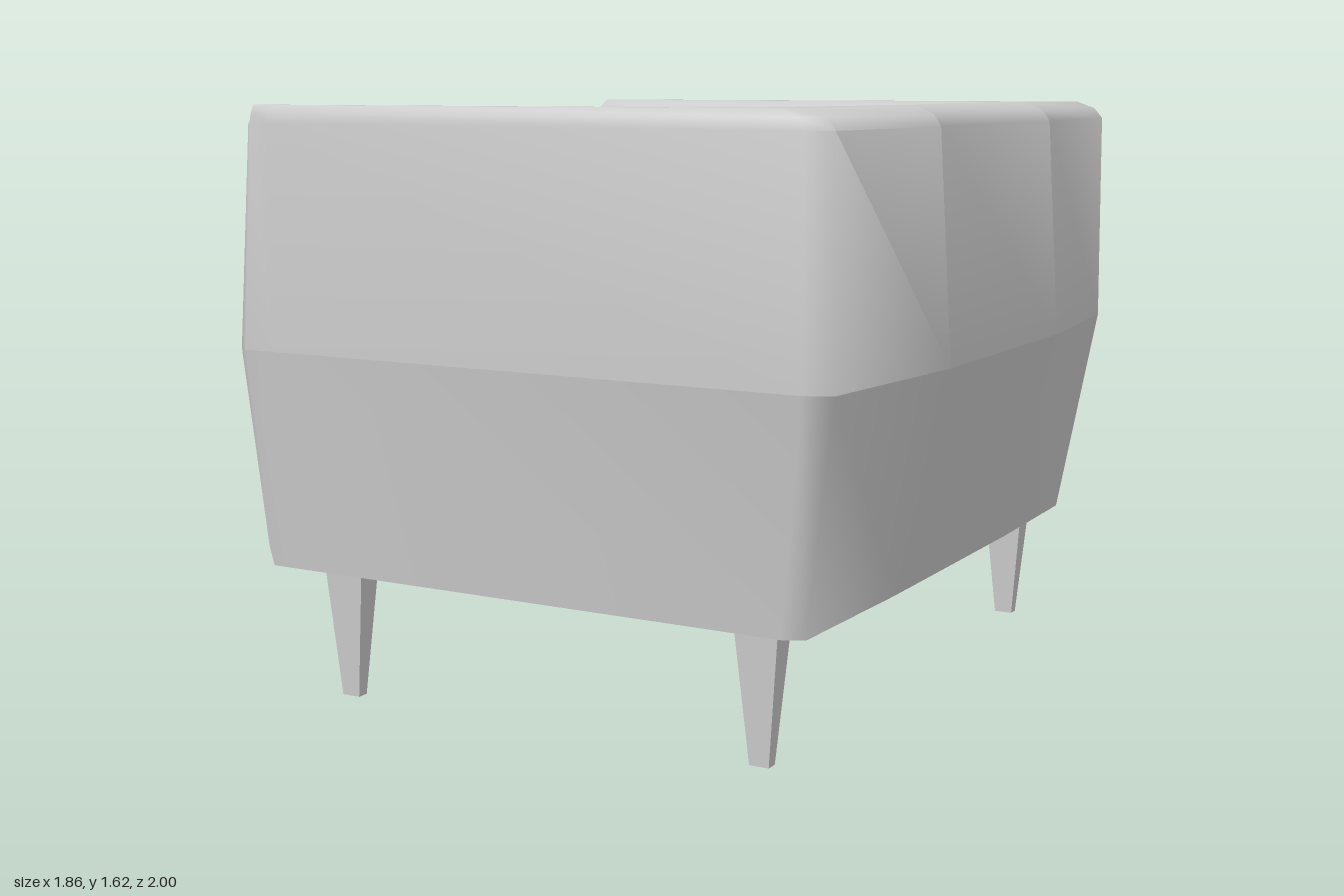
import * as THREE from 'three';
import { toCreasedNormals } from 'three/addons/utils/BufferGeometryUtils.js';

const material = new THREE.MeshStandardMaterial({ color: 0xcccccc, side: THREE.DoubleSide });
const legMaterial = new THREE.MeshStandardMaterial({ color: 0xcccccc, flatShading: true });
const { lerp, clamp, smoothstep } = THREE.MathUtils;

// Skin a list of equally long rows of [x, y, z] points.
function loft(rows, name) {
  const n = rows[0].length, index = [];
  for (let i = 0; i < rows.length - 1; i++) {
    for (let j = 0; j < n - 1; j++) {
      const a = i * n + j, b = a + n;
      index.push(a, b, a + 1, b, b + 1, a + 1);
    }
  }
  const geometry = new THREE.BufferGeometry();
  geometry.setAttribute('position', new THREE.Float32BufferAttribute(rows.flat(2), 3));
  geometry.setIndex(index);
  const mesh = new THREE.Mesh(toCreasedNormals(geometry, 1.15), material);
  mesh.name = name;
  return mesh;
}

// Stations round the U of the shell, each point [x, z]:
// outer bottom, outer middle, outer top, inner top, inner at seat, height of inner hem
const stations = [
  [[-0.87, 0.9], [-0.895, 0.963], [-0.86, 0.957], [-0.86, 0.862], [-0.88, 0.858], 0.35],
  [[-0.8, 0.902], [-0.8, 0.965], [-0.8, 0.96], [-0.8, 0.86], [-0.8, 0.852], 0.94],
  [[0.715, 0.93], [0.8, 1.0], [0.8, 0.998], [0.36, 0.83], [0.29, 0.79], 0.94],
  [[0.77, 0.905], [0.87, 0.97], [0.867, 0.97], [0.4, 0.815], [0.32, 0.77], 0.94],
  [[0.783, 0.4], [0.93, 0.4], [0.893, 0.4], [0.5, 0.36], [0.36, 0.33], 0.94],
  [[0.783, -0.42], [0.93, -0.42], [0.893, -0.42], [0.5, -0.38], [0.36, -0.33], 0.94],
  [[0.77, -0.925], [0.87, -0.988], [0.867, -0.985], [0.42, -0.82], [0.32, -0.785], 0.94],
  [[-0.8, -0.93], [-0.8, -1.0], [-0.8, -0.99], [-0.8, -0.875], [-0.8, -0.87], 0.94],
  [[-0.885, -0.93], [-0.89, -1.0], [-0.885, -0.99], [-0.88, -0.878], [-0.88, -0.875], 0.35],
];

// Rounded top edge: fraction of the thickness, height
const topEdge = [[0, 1.57], [0.05, 1.6], [0.16, 1.62], [0.6, 1.62], [0.74, 1.61], [0.87, 1.585],
  [0.95, 1.54], [1, 1.47]];

function upperRow([, mid, top, inner, seat, hem]) {
  return [
    [mid[0], 0.96, mid[1]],
    ...topEdge.map(([f, y]) => [lerp(top[0], inner[0], f), y, lerp(top[1], inner[1], f)]),
    [seat[0], 0.97, seat[1]],
    [seat[0], hem, seat[1]],
  ];
}

function lowerRow([bottom, mid]) {
  return [[bottom[0], 0.35, bottom[1]], [mid[0], 0.96, mid[1]]];
}

// Close an arm's front end with a chamfer and a face down its centre line; the left end
// leans back above and below its middle.
function armEnd(row) {
  const left = row[0][2] > 0, centre = left ? 0.9 : -0.925;
  return [1, 0.4].map((f) => row.map(([, y, z]) => {
    const lean = left ? 0.045 * Math.abs(y - 0.96) / 0.62 : 0;
    return [-0.93 + lean, clamp(y, 0.4, 1.575), lerp(z, centre, f)];
  }));
}

// One level of the shell: left arm, back panel and right arm meet at crisp vertical seams.
function shellPart(rowOf, name) {
  const rows = stations.map(rowOf);
  const group = new THREE.Group();
  group.name = name;
  group.add(
    loft([...armEnd(rows[0]), ...rows.slice(0, 5)], 'leftArm'),
    loft(rows.slice(4, 6), 'backPanel'),
    loft([...rows.slice(5), ...armEnd(rows[8]).reverse()], 'rightArm'),
  );
  return group;
}

// Panel with an [x, y] profile carried across the width. Its front bows out in the middle
// and its top edge sinks by `sag` toward the left arm.
function crossPanel(profile, name, sag) {
  const rows = [];
  for (let i = 0; i <= 12; i++) {
    const t = i / 12, z = lerp(-0.885, 0.87, t), bow = 0.015 * Math.sin(Math.PI * t);
    const drop = sag * smoothstep(z, 0.2, 0.87);
    rows.push(profile.map(([x, y]) => [x < 0 ? x - bow : x, y > 0.9 ? y - drop : y, z]));
  }
  return loft(rows, name);
}

function leg(x, z) {
  const geometry = new THREE.CylinderGeometry(Math.SQRT1_2, Math.SQRT1_2 * 0.42, 0.4, 4);
  geometry.rotateY(Math.PI / 4).scale(0.13, 1, 0.08).translate(x, 0.2, z);
  const mesh = new THREE.Mesh(geometry, legMaterial);
  mesh.name = 'leg';
  return mesh;
}

export function createModel() {
  const chair = new THREE.Group();
  chair.name = 'armchair';

  // Arms and back, an open shell that narrows toward the floor
  chair.add(shellPart(upperRow, 'upperShell'), shellPart(lowerRow, 'lowerShell'));

  // Seat cushion, open underneath, and the rail below its front
  chair.add(crossPanel([[-0.86, 0.7], [-0.885, 0.715], [-0.897, 0.75], [-0.897, 0.94],
    [-0.89, 0.975], [-0.865, 1.0], [-0.3, 1.012], [0.38, 1.012]], 'seatCushion', 0.032));
  chair.add(crossPanel([[-0.85, 0.36], [-0.868, 0.42], [-0.88, 0.52], [-0.875, 0.62],
    [-0.86, 0.7]], 'frontRail', 0));

  // Four tapered legs
  for (const x of [-0.64, 0.625]) for (const z of [0.85, -0.875]) chair.add(leg(x, z));
  return chair;
}
